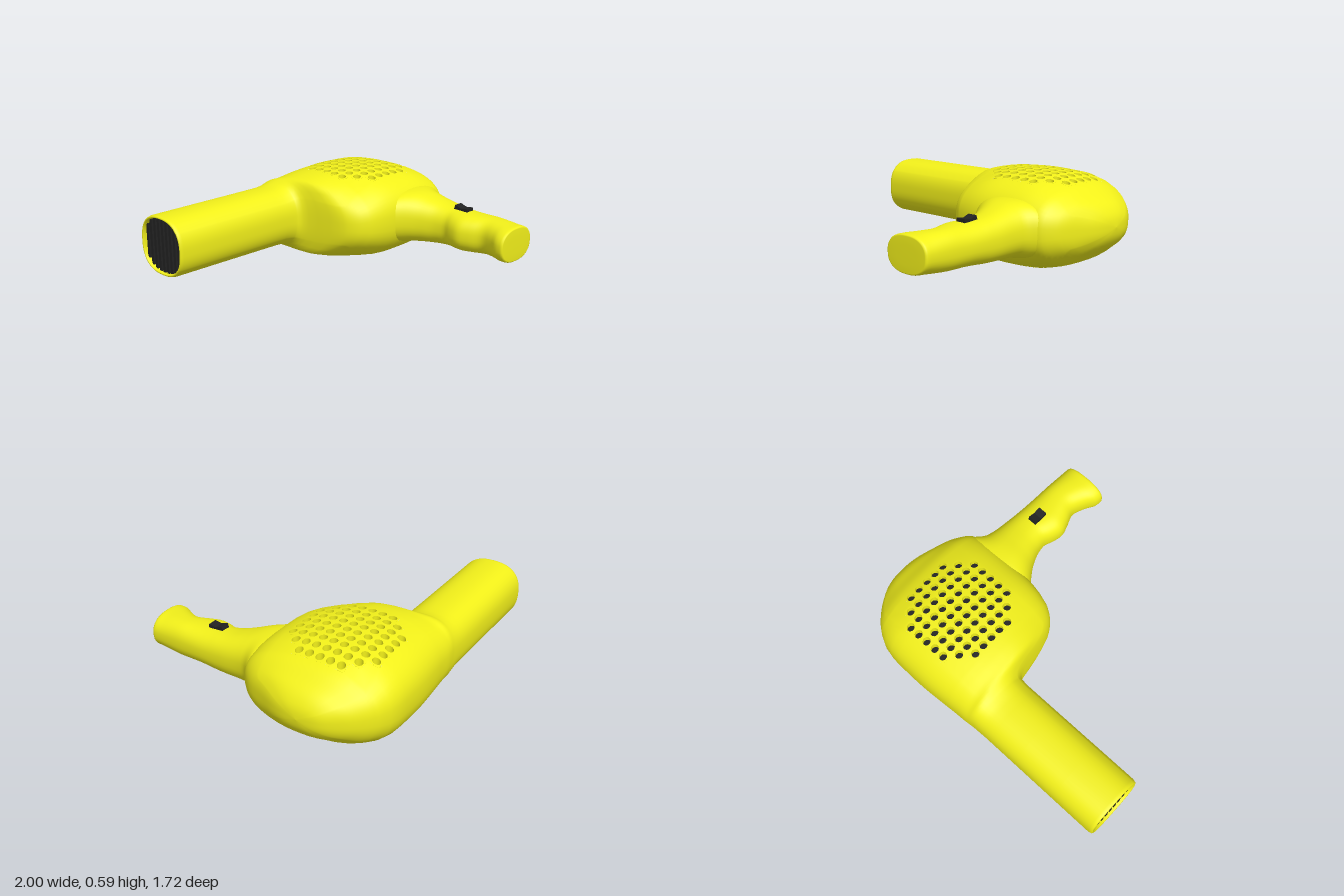
import * as THREE from 'three';
import { mergeVertices } from 'three/addons/utils/BufferGeometryUtils.js';

const yellow = new THREE.MeshStandardMaterial({ color: 0xf2f01a });
const yellowThin = new THREE.MeshStandardMaterial({ color: 0xf2f01a, side: THREE.DoubleSide });
const dark = new THREE.MeshStandardMaterial({ color: 0x222222, side: THREE.DoubleSide });
const MID = 0.3; // height of the symmetry plane

// Smooth table lookup without overshoot; each row is [position, values...]
function lookup(rows, t) {
  const last = rows.length - 1;
  let i = 0;
  while (i < last - 1 && t > rows[i + 1][0]) i++;
  const secant = (k, c) => (rows[k + 1][c] - rows[k][c]) / (rows[k + 1][0] - rows[k][0]);
  const slope = (k, c) => {
    if (k === 0) return secant(0, c);
    if (k === last) return secant(last - 1, c);
    const a = secant(k - 1, c), b = secant(k, c);
    return a * b > 0 ? (2 * a * b) / (a + b) : 0;
  };
  const w = rows[i + 1][0] - rows[i][0], s = (t - rows[i][0]) / w;
  return rows[0].slice(1).map((_, k) => {
    const c = k + 1;
    return rows[i][c] * (1 + 2 * s) * (1 - s) ** 2 + rows[i + 1][c] * s * s * (3 - 2 * s)
      + w * slope(i, c) * s * (1 - s) ** 2 + w * slope(i + 1, c) * s * s * (s - 1);
  });
}

// Collects triangles and turns them into one smooth mesh
class Skin {
  constructor() { this.p = []; }
  tri(a, b, c) { this.p.push(...a, ...b, ...c); }
  quad(a, b, c, d) { this.tri(a, b, c); this.tri(a, c, d); }
  mesh(name, material) {
    const g = new THREE.BufferGeometry();
    g.setAttribute('position', new THREE.Float32BufferAttribute(this.p, 3));
    const merged = mergeVertices(g, 1e-5);
    merged.computeVertexNormals();
    const m = new THREE.Mesh(merged, material);
    m.name = name;
    return m;
  }
}

function loft(skin, rings, skip = () => false) {
  for (let i = 0; i + 1 < rings.length; i++) {
    const n = rings[i].length;
    for (let j = 0; j < n; j++) {
      const k = (j + 1) % n;
      if (!skip(i, j)) skin.quad(rings[i][j], rings[i + 1][j], rings[i + 1][k], rings[i][k]);
    }
  }
}

const spow = (v, e) => Math.sign(v) * Math.abs(v) ** e;

// Barrel and motor housing: x, back z, front z, half height
const BODY = [
  [-1, -0.83, -0.43, 0.188], [-0.15, -0.83, -0.43, 0.19], [-0.07, -0.832, -0.425, 0.205],
  [-0.04, -0.833, -0.4, 0.22], [-0.02, -0.835, -0.34, 0.23], [0, -0.837, -0.19, 0.242],
  [0.03, -0.84, -0.08, 0.252], [0.1, -0.843, 0.005, 0.27], [0.2, -0.85, 0.055, 0.285],
  [0.4, -0.86, 0.085, 0.295], [0.6, -0.857, 0.09, 0.287], [0.7, -0.84, 0.09, 0.267],
  [0.8, -0.785, 0.07, 0.23], [0.88, -0.71, -0.01, 0.175], [0.94, -0.625, -0.155, 0.13],
  [0.98, -0.545, -0.27, 0.078], [0.995, -0.475, -0.35, 0.038], [1, -0.42, -0.419, 0.001],
];
const POWER = 2.5;
function section(x) {
  const [zb, zf, h] = lookup(BODY, x);
  return { c: (zb + zf) / 2, w: (zf - zb) / 2, h };
}
// The front corner beside the barrel is thinner than the rest
const thin = (x, z) => 1 - 0.25 * (1 - THREE.MathUtils.smoothstep(x, -0.05, 0.35))
  * THREE.MathUtils.smoothstep(z, -0.4, 0);
function halfHeight(x, z) {
  const { c, w, h } = section(x);
  const u = Math.min(1, Math.abs((z - c) / w));
  return h * (1 - u ** POWER) ** (1 / POWER) * thin(x, z);
}
const onBody = (x, z, side) => [x, MID + side * halfHeight(x, z), z];

// Vent grid: 9 x 9 cells on the top and bottom of the housing
const N = 9, STEP = 0.0685, X0 = 0.156, Z1 = -0.0965, Z0 = Z1 - N * STEP, RIM = 18;
const hasHole = (i, j) => Math.abs(i - 4) <= ({ 4: 2, 3: 3 }[Math.abs(j - 4)] ?? 4);

function bodyRing(x, scale = 1) {
  const { c, w, h } = section(x);
  const zF = Math.min(Z1, c + 0.85 * w), zB = Math.max(Z0, c - 0.85 * w);
  const aF = Math.acos(((zF - c) / w) ** (POWER / 2));
  const aB = Math.acos(((c - zB) / w) ** (POWER / 2));
  const ring = [];
  const rim = (from, to) => {
    for (let k = 0; k < RIM; k++) {
      const a = from + ((to - from) * k) / RIM;
      const z = c + w * spow(Math.cos(a), 2 / POWER);
      ring.push([x, MID + h * spow(Math.sin(a), 2 / POWER) * thin(x, z), z]);
    }
  };
  rim(-aF, aF);
  for (let k = 0; k < N; k++) ring.push(onBody(x, zF + ((zB - zF) * k) / N, 1));
  rim(Math.PI - aB, Math.PI + aB);
  for (let k = 0; k < N; k++) ring.push(onBody(x, zB + ((zF - zB) * k) / N, -1));
  return ring.map(([px, y, z]) => [px, MID + (y - MID) * scale, c + (z - c) * scale]);
}

function buildBody(group) {
  const skin = new Skin(), walls = new Skin(), floors = new Skin();
  // Rolled lip of the outlet, barrel, housing, rounded end
  const stations = [[-0.9, 0.9], [-0.985, 0.9], [-0.997, 0.92], [-1, 0.945], [-0.995, 0.975], [-0.975, 1],
    [-0.7, 1], [-0.4, 1], [-0.2, 1], [-0.14, 1], [-0.1, 1]];
  for (let x = -0.075; x < X0 - 0.01; x += 0.0125) stations.push([x, 1]);
  const first = stations.length;
  for (let i = 0; i <= N; i++) stations.push([X0 + i * STEP, 1]);
  const end = X0 + N * STEP;
  for (let i = 1; i <= 20; i++) stations.push([end + (1 - end) * Math.sin((i / 20) * Math.PI / 2), 1]);
  loft(skin, stations.map(([x, s]) => bodyRing(x, s)), (i, j) => {
    const col = i - first, top = j - RIM, bottom = j - 2 * RIM - N;
    if (col < 0 || col >= N) return false;
    if (top >= 0 && top < N) return hasHole(col, top);
    return bottom >= 0 && hasHole(col, N - 1 - bottom);
  });

  // Vent cells: square plate with a round hole, a wall and a dark floor
  const SEG = 16, R = 0.025, DEPTH = 0.045;
  for (const side of [1, -1]) for (let i = 0; i < N; i++) for (let j = 0; j < N; j++) {
    if (!hasHole(i, j)) continue;
    const cx = X0 + (i + 0.5) * STEP, cz = Z1 - (j + 0.5) * STEP;
    const floorY = MID + side * (halfHeight(cx, cz) - DEPTH);
    const spoke = (k) => {
      const a = (k / SEG) * Math.PI * 2 * -side, c = Math.cos(a), s = Math.sin(a);
      const q = STEP / 2 / Math.max(Math.abs(c), Math.abs(s));
      const x = cx + R * c, z = cz + R * s;
      return { out: onBody(cx + q * c, cz + q * s, side), edge: onBody(x, z, side), low: [x, floorY, z] };
    };
    for (let k = 0; k < SEG; k++) {
      const a = spoke(k), b = spoke(k + 1);
      skin.quad(a.edge, a.out, b.out, b.edge);
      walls.quad(a.edge, b.edge, b.low, a.low);
      floors.tri([cx, floorY, cz], a.low, b.low);
    }
  }
  group.add(skin.mesh('barrelAndHousing', yellow), walls.mesh('ventWalls', yellowThin),
    floors.mesh('ventFloors', dark));

  // Outlet: dark back plate and upright slats
  const plate = new Skin(), ring = bodyRing(-0.92, 0.9);
  ring.forEach((p, k) => plate.tri([-0.92, MID, -0.63], p, ring[(k + 1) % ring.length]));
  group.add(plate.mesh('outletPlate', dark));
  for (let k = 0; k < 9; k++) {
    const z = -0.63 + (k - 4) * 0.038;
    const tall = 2 * 0.9 * halfHeight(-0.92, -0.63 + (z + 0.63) / 0.9);
    const slat = new THREE.Mesh(new THREE.BoxGeometry(0.065, tall, 0.02), dark);
    slat.position.set(-0.95, MID, z);
    slat.name = 'outletSlat';
    group.add(slat);
  }
}

// Grip with finger waves: z, left x, right x, top y, bottom y
const GRIP = [
  [-0.08, 0.29, 0.82, 0.48, 0.125], [0.03, 0.29, 0.835, 0.478, 0.128], [0.08, 0.33, 0.79, 0.474, 0.135],
  [0.12, 0.365, 0.762, 0.467, 0.142], [0.2, 0.42, 0.747, 0.445, 0.147], [0.3, 0.462, 0.74, 0.42, 0.151],
  [0.36, 0.47, 0.736, 0.411, 0.153], [0.42, 0.448, 0.733, 0.406, 0.155], [0.49, 0.432, 0.73, 0.403, 0.157],
  [0.56, 0.452, 0.727, 0.4, 0.159], [0.65, 0.483, 0.724, 0.397, 0.162], [0.74, 0.452, 0.72, 0.394, 0.165],
  [0.81, 0.412, 0.717, 0.391, 0.168], [0.86, 0.405, 0.715, 0.39, 0.17],
];
function gripRing(z, scale) {
  const [xl, xr, yt, yb] = lookup(GRIP, z);
  return Array.from({ length: 48 }, (_, k) => {
    const a = (-k / 48) * Math.PI * 2, e = 2 / 2.4;
    return [(xl + xr) / 2 + scale * ((xr - xl) / 2) * spow(Math.cos(a), e),
      (yt + yb) / 2 + scale * ((yt - yb) / 2) * spow(Math.sin(a), e), z];
  });
}

function buildHandle(group) {
  const skin = new Skin(), rings = [];
  for (let k = 0; k <= 46; k++) rings.push(gripRing(-0.08 + k * 0.02, 1));
  for (const [z, s] of [[0.85, 0.985], [0.856, 0.955], [0.858, 0.91], [0.859, 0.5], [0.859, 0.001]]) {
    rings.push(gripRing(z, s));
  }
  loft(skin, rings);
  group.add(skin.mesh('handle', yellow));

  // Rocker switch, drawn in side profile (z, y)
  const profile = new THREE.Shape([[0.475, 0.38], [0.475, 0.424], [0.425, 0.418], [0.38, 0.434], [0.37, 0.404],
    [0.37, 0.38]].map(([z, y]) => new THREE.Vector2(z, y)));
  const geo = new THREE.ExtrudeGeometry(profile, { depth: 0.06, bevelEnabled: false });
  geo.rotateY(-Math.PI / 2).translate(0.62, 0, 0);
  const rocker = new THREE.Mesh(geo, dark);
  rocker.name = 'rockerSwitch';
  group.add(rocker);
}

export function createModel() {
  const group = new THREE.Group();
  group.name = 'hairDryer';
  buildBody(group);
  buildHandle(group);
  return group;
}
